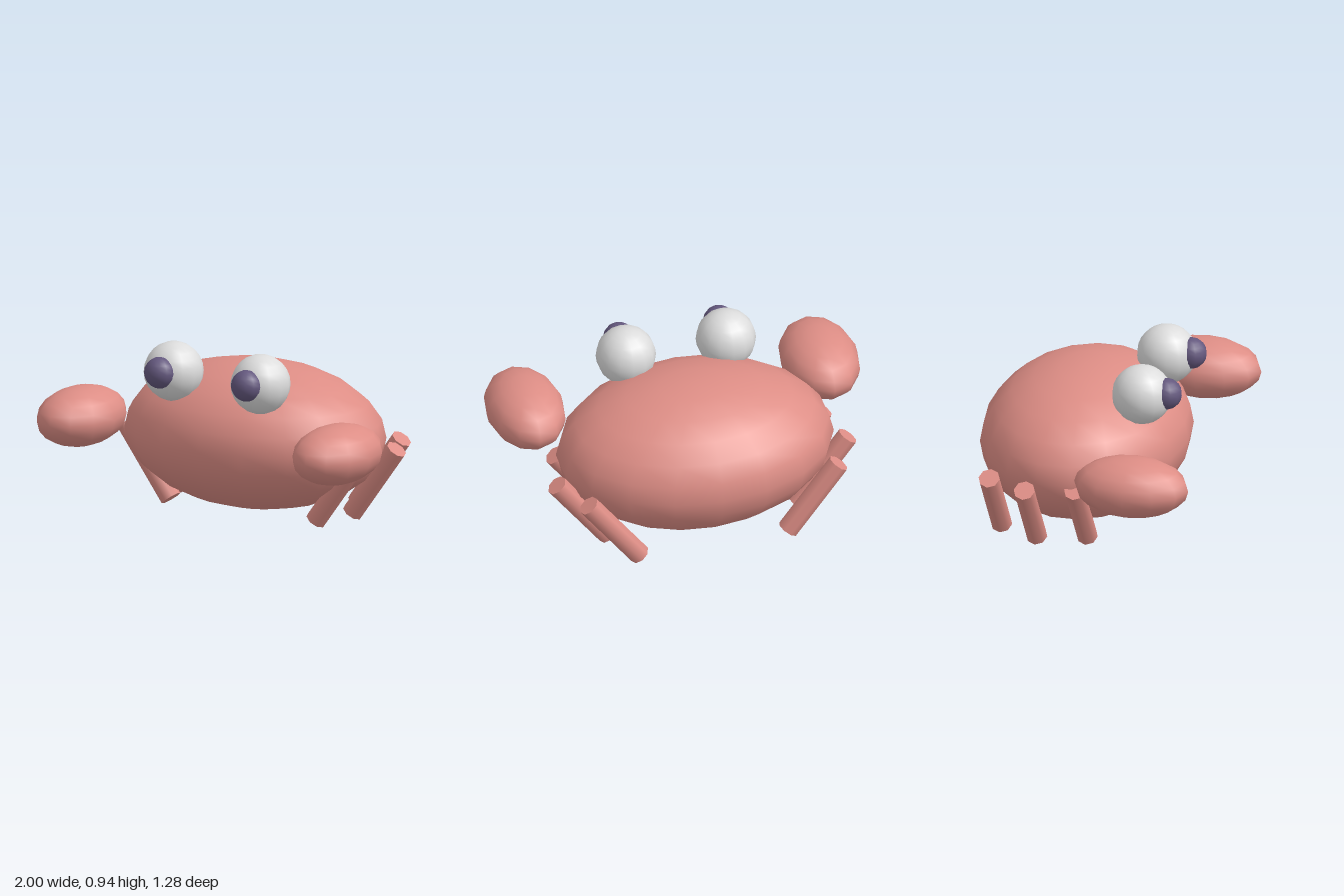
import * as THREE from 'three';

function material(name, color) {
  const m = new THREE.MeshStandardMaterial({ color });
  m.name = name;
  return m;
}

export function createModel() {
  const shell = material('salmon shell', 0xdd8d85);
  const white = material('eye white', 0xdcdcdc);
  const violet = material('pupil violet', 0x64587e);
  const crab = new THREE.Group();
  crab.name = 'crab';

  function add(name, geometry, mat) {
    const mesh = new THREE.Mesh(geometry, mat);
    mesh.name = name;
    crab.add(mesh);
    return mesh;
  }

  // Ellipsoid with a vertex meridian on the +z and -z axis
  function ellipsoid(name, mat, center, radii, segments, rings) {
    const g = new THREE.SphereGeometry(1, segments, rings);
    g.rotateY(Math.PI / 2);
    g.scale(...radii);
    add(name, g, mat).position.set(...center);
  }

  // Straight leg between two points
  function leg(name, top, bottom) {
    const a = new THREE.Vector3(...top), b = new THREE.Vector3(...bottom);
    const dir = a.clone().sub(b);
    const mesh = add(name, new THREE.CylinderGeometry(0.056, 0.056, dir.length(), 8), shell);
    mesh.position.copy(a).add(b).multiplyScalar(0.5);
    mesh.quaternion.setFromUnitVectors(new THREE.Vector3(0, 1, 0), dir.normalize());
  }

  ellipsoid('body', shell, [0, 0.422, -0.098], [0.735, 0.388, 0.543], 18, 12);

  for (const [side, s] of [['left', 1], ['right', -1]]) {
    ellipsoid(side + 'Claw', shell, [s * 0.795, 0.494, 0.335], [0.205, 0.156, 0.305], 12, 10);
    ellipsoid(side + 'Eye', white, [s * 0.27, 0.786, 0.263], [0.157, 0.157, 0.157], 14, 12);
    ellipsoid(side + 'Pupil', violet, [s * 0.27, 0.802, 0.393], [0.083, 0.083, 0.083], 12, 10);

    // Legs lean outward towards the top; each has its own offset from the middle
    for (const [name, x, z] of [['Front', 0.45, 0.015], ['Middle', 0.51, -0.24], ['Rear', 0.4, -0.455]]) {
      leg(side + name + 'Leg', [s * (x + 0.275), 0.405, z], [s * x, 0.034, z]);
    }
  }
  return crab;
}
